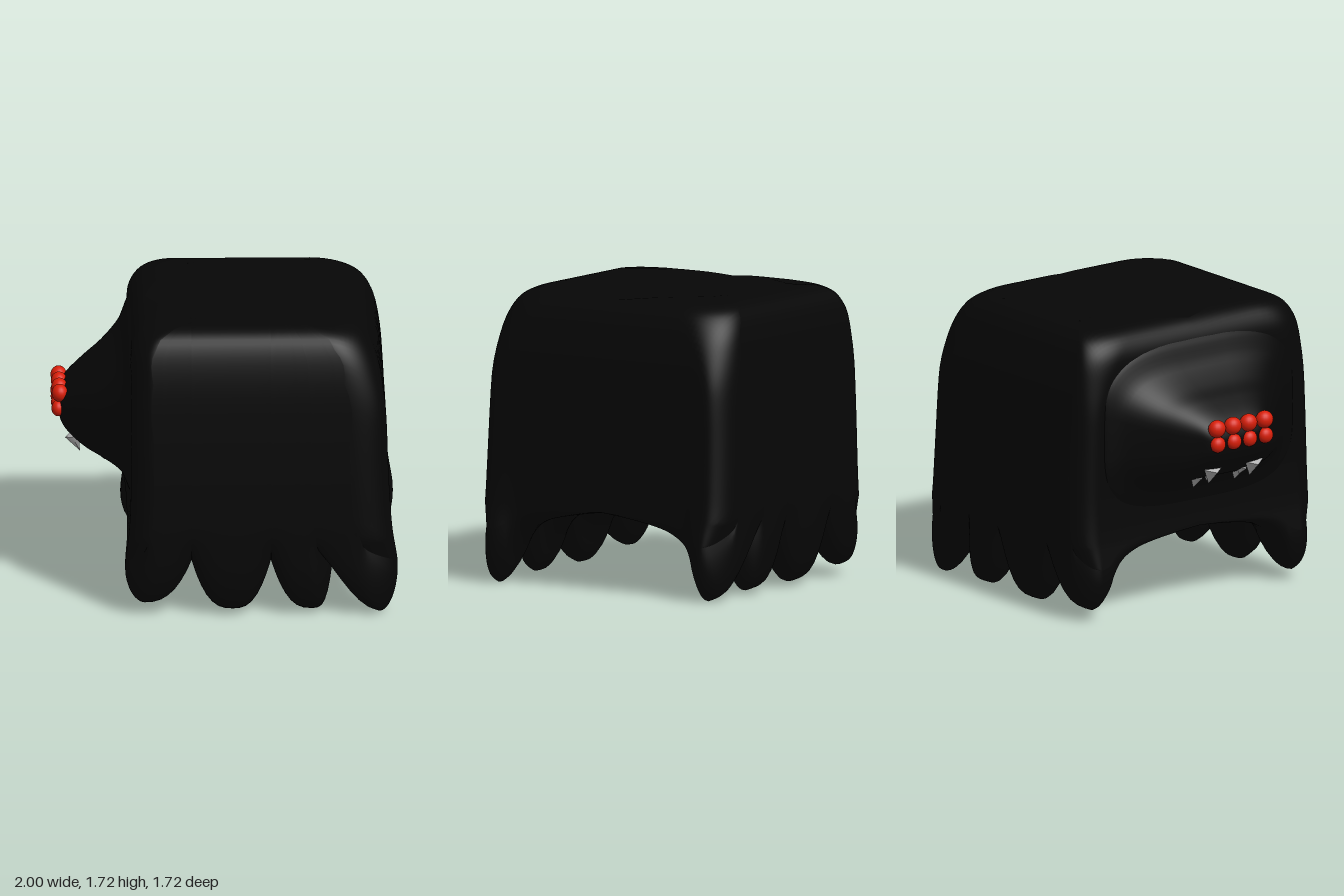
import * as THREE from 'three';
import { mergeVertices } from 'three/addons/utils/BufferGeometryUtils.js';

const black = new THREE.MeshStandardMaterial({ color: 0x060606 });
black.name = 'black hide';
const red = new THREE.MeshStandardMaterial({ color: 0xd81e08 });
red.name = 'red eyes';
const grey = new THREE.MeshStandardMaterial({ color: 0xb4b4b4 });
grey.name = 'grey fangs';

// Smooth lookup in rows of [key, value, ...]
function lookup(rows, k, col = 1) {
  const last = rows.length - 1;
  let i = 0;
  while (i < last - 1 && k > rows[i + 1][0]) i++;
  const slope = (j) => {
    const a = rows[Math.max(0, j - 1)], b = rows[Math.min(last, j + 1)];
    return (b[col] - a[col]) / (b[0] - a[0]);
  };
  const a = rows[i], b = rows[i + 1], h = b[0] - a[0];
  const f = THREE.MathUtils.clamp((k - a[0]) / h, 0, 1), g = 1 - f;
  return a[col] * g * g * (1 + 2 * f) + b[col] * f * f * (1 + 2 * g)
    + h * f * g * (g * slope(i) - f * slope(i + 1));
}

// Moves every vertex by a rule, then welds and smooths
function deform(geometry, rule) {
  geometry.deleteAttribute('uv');
  geometry.deleteAttribute('normal');
  const p = geometry.attributes.position, v = new THREE.Vector3();
  for (let i = 0; i < p.count; i++) {
    rule(v.fromBufferAttribute(p, i));
    p.setXYZ(i, v.x, v.y, v.z);
  }
  const out = mergeVertices(geometry, 1e-5);
  out.computeVertexNormals();
  return out;
}

const spline = (pts) => new THREE.SplineCurve(pts.map(([z, y]) => new THREE.Vector2(z, y)));

// Half section (z, y): hide over the back, and belly down to the foot tip
const outer = spline([[0, 1.69], [0.25, 1.715], [0.53, 1.72], [0.68, 1.70], [0.77, 1.62], [0.822, 1.42],
  [0.846, 1.1], [0.858, 0.75], [0.86, 0.45], [0.852, 0.2], [0.81, 0.05], [0.73, 0]]);
const inner = spline([[0, 0.46], [0.16, 0.435], [0.3, 0.41], [0.42, 0.38], [0.51, 0.335], [0.565, 0.285],
  [0.6, 0.23], [0.63, 0.16], [0.65, 0.09], [0.67, 0.05], [0.7, 0.012], [0.73, 0]]);

// Rear end, front end and half width of the body by height
const rearEnd = [[0, 1], [0.3, 0.995], [0.5, 0.965], [0.7, 0.95], [0.9, 0.94], [1.2, 0.928], [1.42, 0.9],
  [1.54, 0.868], [1.64, 0.815], [1.695, 0.745], [1.715, 0.68], [1.72, 0.62]];
const frontEnd = [[0, -0.588], [0.25, -0.588], [0.5, -0.56], [0.75, -0.55], [1.4, -0.55], [1.5, -0.55],
  [1.58, -0.54], [1.65, -0.505], [1.69, -0.455], [1.713, -0.38], [1.72, -0.28]];
const halfWidth = [[0, 0.86], [0.6, 0.86], [1.1, 0.846], [1.42, 0.822], [1.62, 0.77], [1.7, 0.68], [1.72, 0.53]];

// Legs: front edge, lowest point, rear edge, foot height, flare power to the front and to the rear
const legs = [[-0.59, -0.47, -0.2, 0.06, 0, 2.6], [-0.2, 0.04, 0.26, 0.02, 2.8, 2.8],
  [0.26, 0.49, 0.62, 0.02, 2.6, 4], [0.62, 0.89, 1, 0, 1.7, 0]];
const GAP = 0.32, SEG = 18;

function bodyRule(v) {
  // Along the body: each leg gets its own stations, closer near the gaps
  const t = (v.x + 0.5) * 4, n = Math.min(3, Math.floor(t + 1e-6));
  const [x0, xc, x1, foot, pf, pr] = legs[n];
  const u = -Math.cos(Math.PI * THREE.MathUtils.clamp(t - n, 0, 1));
  let x = xc + u * (u < 0 ? xc - x0 : x1 - xc);
  const power = u < 0 ? pf : pr;
  const rise = power ? Math.pow(Math.abs(u), power) : 1 - Math.sqrt(Math.max(0, 1 - u * u));
  const lift = foot + (GAP - foot) * rise;

  // Around the arch and through its thickness
  const s = Math.min(1, Math.abs(v.z) * 2), side = Math.sign(v.z);
  const r = Math.sin((v.y + 0.5) * Math.PI / 2);
  const a = inner.getPoint(s), b = outer.getPoint(s);
  let z = a.x + (b.x - a.x) * r, y = a.y + (b.y - a.y) * r;

  // Rounded ends, with the rear flaring only at the legs
  const wide = lookup(halfWidth, y), band = 0.13 + 0.12 * THREE.MathUtils.smoothstep(y, 1.2, 1.7);
  const q = THREE.MathUtils.clamp((z - wide + band) / band, 0, 1);
  const round = 1 - Math.sqrt(1 - q * q);

  // Legs: raise the gaps and pinch the hide between them
  const low = Math.max(0, 1 - y / 0.47);
  if (z > 0.73) z = 0.73 + (z - 0.73) * (1 - 0.35 * (lift / GAP) * low);
  y += lift * low;

  const flare = lookup(rearEnd, y), flat = Math.min(flare, 0.928 + 0.01 * z);
  const rear = flat + (flare - flat) * THREE.MathUtils.smoothstep(z, 0.55, 0.73);
  if (x > 0.3) x = 0.3 + (x - 0.3) * (rear - 0.22 * round - 0.3) / 0.7;
  if (x < -0.2) x = -0.2 + (x + 0.2) * (lookup(frontEnd, y) + 0.13 * round + 0.2) / -0.39;
  v.set(x, y, side * z);
}

// Head sections: position along it, x, low y, high y, half width
const headRows = [[0, -0.5, 0.58, 1.63, 0.74], [0.1, -0.55, 0.62, 1.57, 0.69], [0.18, -0.575, 0.68, 1.51, 0.645],
  [0.25, -0.605, 0.735, 1.445, 0.595], [0.4, -0.7, 0.79, 1.35, 0.48], [0.6, -0.8, 0.835, 1.28, 0.37],
  [0.8, -0.89, 0.9, 1.21, 0.27], [0.9, -0.935, 0.955, 1.16, 0.22], [0.96, -0.953, 1, 1.12, 0.18],
  [1, -0.963, 1.04, 1.09, 0.11]];

function headRule(v) {
  const f = 0.5 - v.x;
  const [x, lo, hi, w] = [1, 2, 3, 4].map((c) => lookup(headRows, f, c));
  const square = (k) => Math.sign(k) * Math.pow(Math.abs(k), 0.55);
  v.set(x, (lo + hi) / 2 + square(v.y) * (hi - lo) / 2, square(v.z) * w);
}

export function createModel() {
  const group = new THREE.Group();
  const add = (name, geometry, material) => {
    const mesh = new THREE.Mesh(geometry, material);
    mesh.name = name;
    group.add(mesh);
    return mesh;
  };

  // Arched body with eight stubby legs
  add('body', deform(new THREE.BoxGeometry(1, 1, 1, 4 * SEG, 36, 96), bodyRule), black);

  // Tapered head
  add('head', deform(new THREE.CylinderGeometry(1, 1, 1, 64, 30).rotateZ(Math.PI / 2), headRule), black);

  // Two rows of four eyes
  const eyeGeo = new THREE.SphereGeometry(1, 20, 14);
  for (const z of [-0.178, -0.062, 0.053, 0.17]) {
    const upper = add('upperEye', eyeGeo, red);
    upper.position.set(-0.952, 1.158, z);
    upper.scale.set(0.047, 0.052, 0.054);
    const lower = add('lowerEye', eyeGeo, red);
    lower.position.set(-0.962, 1.065, z);
    lower.scale.set(0.038, 0.047, 0.048);
  }

  // Fangs under the jaw, leaning backwards: base x, base y, tip x, tip y, z, half depth
  const up = new THREE.Vector3(0, 1, 0);
  for (const [bx, by, tx, ty, z, depth] of [[-0.88, 0.9, -0.835, 0.8, 0.15, 0.065],
    [-0.8, 0.86, -0.775, 0.8, 0.12, 0.04], [-0.73, 0.83, -0.69, 0.745, 0.15, 0.05]]) {
    for (const side of [-1, 1]) {
      const dir = new THREE.Vector3(tx - bx, ty - by, 0), length = dir.length();
      const fang = add('fang', new THREE.ConeGeometry(1, length, 4), grey);
      fang.scale.set(0.045, 1, depth);
      fang.position.set((bx + tx) / 2, (by + ty) / 2, side * z);
      fang.quaternion.setFromUnitVectors(up, dir.normalize());
    }
  }
  return group;
}
